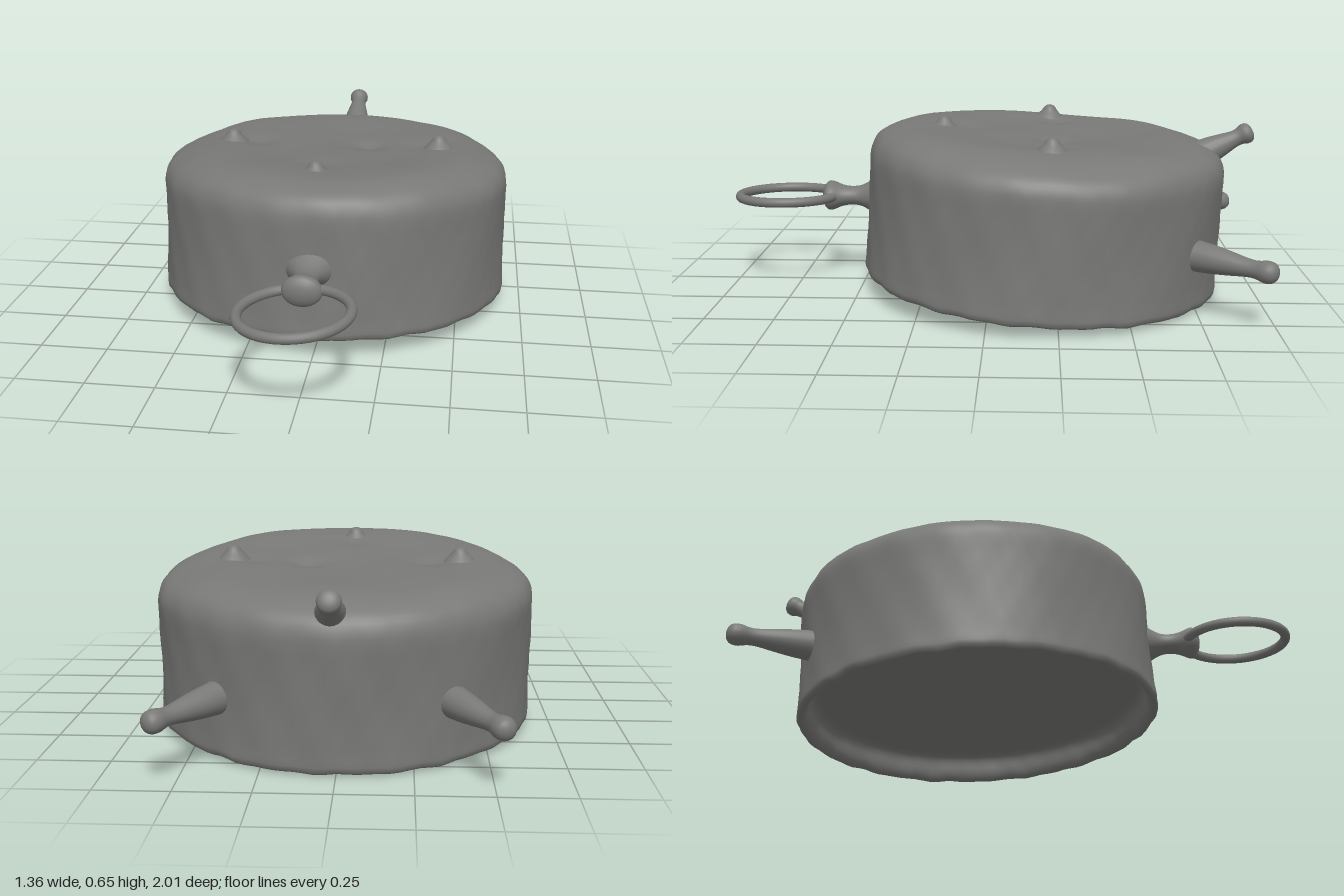
import * as THREE from 'three';
import { mergeVertices } from 'three/addons/utils/BufferGeometryUtils.js';

const material = new THREE.MeshStandardMaterial({ color: 0x797978 });
const { smoothstep } = THREE.MathUtils;

// Smooth solid of revolution, welded so that it can be dented by a rule
function revolve(points, steps, segments, move) {
  const curve = new THREE.SplineCurve(points.map(([r, y]) => new THREE.Vector2(r, y)));
  const profile = curve.getSpacedPoints(steps);
  profile.forEach((p) => { p.x = Math.max(p.x, 0); });
  let geo = new THREE.LatheGeometry(profile, segments);
  geo.deleteAttribute('uv');
  geo.deleteAttribute('normal');
  geo = mergeVertices(geo, 1e-5);
  if (move) {
    const pos = geo.attributes.position;
    const v = new THREE.Vector3();
    for (let i = 0; i < pos.count; i++) {
      move(v.fromBufferAttribute(pos, i));
      pos.setXYZ(i, v.x, v.y, v.z);
    }
  }
  geo.computeVertexNormals();
  return geo;
}

function addMesh(parent, name, geo) {
  const mesh = new THREE.Mesh(geo, material);
  mesh.name = name;
  parent.add(mesh);
  return mesh;
}

// Dents in the lid: x, z, depth
const dents = [[0.13, -0.03, 0.02], [-0.31, -0.03, 0.014], [0.32, -0.03, 0.008], [-0.03, 0.3, 0.008]];

// Hand-worked unevenness: rippled wall, ragged lip, drooping shoulders, dented lid
function hammer(v) {
  const a = Math.atan2(v.z, v.x);
  const r = Math.hypot(v.x, v.z);
  const side = smoothstep(r, 0.4, 0.66);
  const ripple = 0.0025 * Math.sin(9 * a + 11 * v.y) + 0.002 * Math.sin(23 * a - 17 * v.y)
    + 0.0015 * Math.sin(41 * a + 37 * v.y);
  const lip = side * (1 - smoothstep(v.y, 0, 0.08));
  const top = smoothstep(v.y, 0.4, 0.54);
  const droop = 0.016 * top * smoothstep(Math.abs(v.x), 0.38, 0.62);
  v.y += lip * (0.002 * Math.sin(19 * a + 1) + 0.002 * Math.sin(31 * a)) - droop;
  v.y += top * 0.003 * Math.sin(13 * v.x + 1) * Math.sin(11 * v.z);
  for (const [x, z, depth] of dents) {
    v.y -= top * depth * Math.exp(-((v.x - x) ** 2 + (v.z - z) ** 2) / 0.004);
  }
  v.x *= 1.008 + side * ripple;
  v.z *= 1.003 + side * ripple;
}

// Knobbed peg standing on a point and aimed at a second one
function addPeg(parent, name, from, to) {
  const a = new THREE.Vector3(...from);
  const dir = new THREE.Vector3(...to).sub(a);
  const L = dir.length();
  const geo = revolve([
    [0.056, 0], [0.05, 0.22 * L], [0.042, 0.42 * L], [0.032, 0.64 * L], [0.032, 0.75 * L],
    [0.039, 0.85 * L], [0.036, 0.94 * L], [0.02, 0.99 * L], [0, L],
  ], 28, 20);
  const peg = addMesh(parent, name, geo);
  peg.position.copy(a);
  peg.quaternion.setFromUnitVectors(new THREE.Vector3(0, 1, 0), dir.normalize());
}

export function createModel() {
  const model = new THREE.Group();
  model.name = 'lidded drum';

  // Round body, leaning slightly backwards, with a recessed underside
  const body = new THREE.Group();
  body.name = 'body';
  body.position.set(0, 0.05, -0.186);
  body.rotation.x = -0.055;
  model.add(body);
  addMesh(body, 'drum', revolve([
    [0, 0.11], [0.2, 0.11], [0.4, 0.11], [0.57, 0.11], [0.62, 0.09], [0.635, 0.03], [0.65, 0.004],
    [0.665, 0], [0.674, 0.015], [0.671, 0.08], [0.668, 0.2], [0.669, 0.34], [0.67, 0.43],
    [0.663, 0.475], [0.642, 0.512], [0.6, 0.538], [0.53, 0.556], [0.42, 0.558], [0.25, 0.55], [0, 0.546],
  ], 120, 120, hammer));

  // Small nubs on the lid, wide and low
  const nub = revolve([[0.075, -0.02], [0.05, 0.008], [0.032, 0.026], [0.018, 0.045], [0, 0.051]], 12, 16);
  for (const [x, y, z] of [[-0.415, 0.55, -0.008], [0.405, 0.552, -0.008], [-0.025, 0.537, 0.4]]) {
    addMesh(body, 'lidNub', nub).position.set(x, y, z);
  }

  // Back pegs: one high in the middle, two low at the sides
  addPeg(model, 'upperPeg', [0.018, 0.52, -0.79], [0.012, 0.615, -0.985]);
  addPeg(model, 'rightPeg', [-0.375, 0.23, -0.74], [-0.535, 0.218, -1]);
  addPeg(model, 'leftPeg', [0.4, 0.23, -0.74], [0.578, 0.218, -0.985]);

  // Front neck flaring at the wall and swelling around the ring
  const neck = addMesh(model, 'ringNeck', revolve([
    [0.1, 0], [0.075, 0.03], [0.05, 0.07], [0.045, 0.11], [0.053, 0.145],
    [0.07, 0.18], [0.066, 0.2], [0.035, 0.215], [0, 0.22],
  ], 32, 28));
  neck.rotation.x = Math.PI / 2;
  neck.scale.z = 0.8;
  neck.position.set(-0.01, 0.345, 0.44);

  // Flat-lying ring
  const ring = addMesh(model, 'ring', new THREE.TorusGeometry(0.187, 0.018, 14, 64));
  ring.rotation.set(Math.PI / 2, 0.055, 0);
  ring.position.set(-0.01, 0.345, 0.793);

  return model;
}
